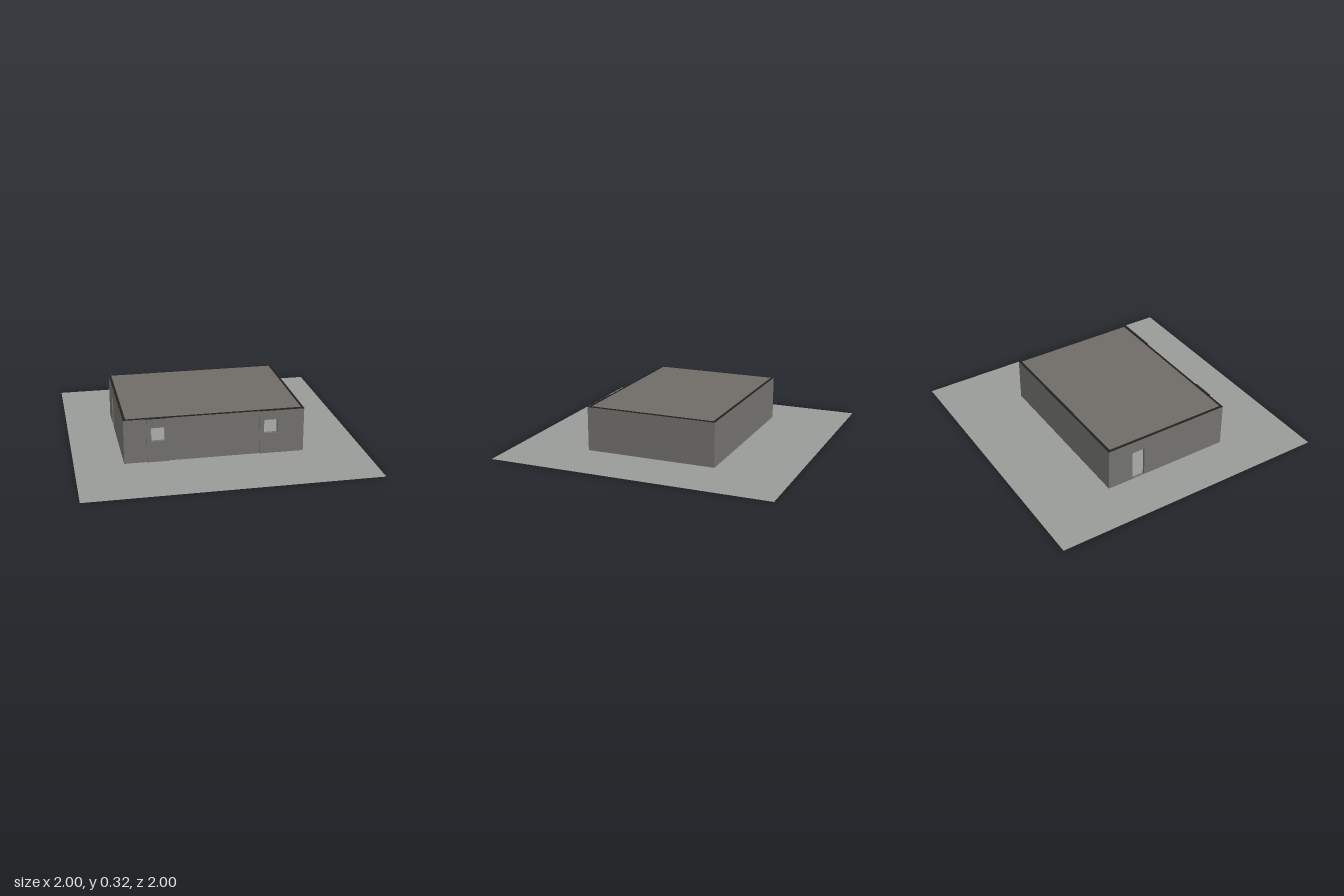
import * as THREE from 'three';

const mat = (name, color, side = THREE.FrontSide) =>
  Object.assign(new THREE.MeshStandardMaterial({ color, side }), { name });

export function createModel() {
  const model = new THREE.Group();
  model.name = 'house';
  const ground = mat('ground grey', 0x999b99, THREE.DoubleSide);
  const wall = mat('wall grey', 0x73726d);
  const roofMat = mat('roof grey', 0x6f6b66);
  const dark = mat('dark rim', 0x222220);

  const X0 = -0.663, X1 = 0.583, Z0 = -0.455, Z1 = 0.473, H = 0.313, T = 0.017, BASE = 0.001;
  const M = (X1 - X0) / 8; // width of one wall panel

  const add = (name, geometry, material, x = 0, y = 0, z = 0) => {
    const mesh = new THREE.Mesh(geometry, material);
    mesh.name = name;
    mesh.position.set(x, y, z);
    model.add(mesh);
    return mesh;
  };
  const box = (name, x0, x1, y0, y1, z0, z1, material) =>
    add(name, new THREE.BoxGeometry(x1 - x0, y1 - y0, z1 - z0), material,
      (x0 + x1) / 2, (y0 + y1) / 2, (z0 + z1) / 2);

  // Wall outline in (u, y), with rectangular openings [u0, u1, y0, y1]
  const wallGeometry = (u0, u1, openings, depth) => {
    const rect = (path, a, b, c, d) => path.moveTo(a, c).lineTo(b, c).lineTo(b, d).lineTo(a, d).closePath();
    const shape = rect(new THREE.Shape(), u0, u1, BASE, H);
    for (const o of openings) shape.holes.push(rect(new THREE.Path(), ...o));
    return new THREE.ExtrudeGeometry(shape, { depth, bevelEnabled: false });
  };

  // Ground sheet
  add('ground', new THREE.PlaneGeometry(2, 2).rotateX(-Math.PI / 2), ground);

  // Front wall with two window openings
  const windows = [1.5, 6.5].map((k) => {
    const c = X0 + k * M;
    return [c - 0.047, c + 0.047, 0.15, 0.248];
  });
  add('frontWall', wallGeometry(X0, X1, windows, T), wall, 0, 0, Z1 - T);

  // Slightly proud panels around the windows and at the corner
  const STEP = 0.007;
  windows.forEach((w, i) => {
    const c = (w[0] + w[1]) / 2;
    add('windowPanel' + (i + 1), wallGeometry(c - M / 2, c + M / 2, [w], STEP), wall, 0, 0, Z1);
  });
  box('cornerPanel', X1 - M, X1, BASE, H, Z1, Z1 + STEP, wall);

  // Back wall and left wall
  box('backWall', X0, X1, BASE, H, Z0, Z0 + T, wall);
  box('leftWall', X1 - T, X1, BASE, H, Z0 + T, Z1 - T, wall);

  // Right wall with an open doorway near the back
  const door = Z0 + 1.5 * M;
  const side = wallGeometry(-Z1 + T, -Z0 - T, [[-door - 0.048, -door + 0.048, 0.004, 0.225]], T);
  add('rightWall', side.rotateY(Math.PI / 2), wall, X0);

  // Dark rim on the wall tops
  const TOP = H + 0.003;
  box('rimBack', X0, X1, H, TOP, Z0, Z0 + T, dark);
  box('rimFront', X0, X1, H, TOP, Z1 - T, Z1, dark);
  box('rimRight', X0, X0 + T, H, TOP, Z0 + T, Z1 - T, dark);
  box('rimLeft', X1 - T, X1, H, TOP, Z0 + T, Z1 - T, dark);
  for (const k of [1, 6, 7]) {
    box('panelRim', X0 + k * M, X0 + (k + 1) * M, H, TOP, Z1, Z1 + STEP, dark);
  }

  // Flat roof inside the rim
  box('roof', X0 + T, X1 - T, H - 0.01, TOP, Z0 + T, Z1 - T, roofMat);

  return model;
}
